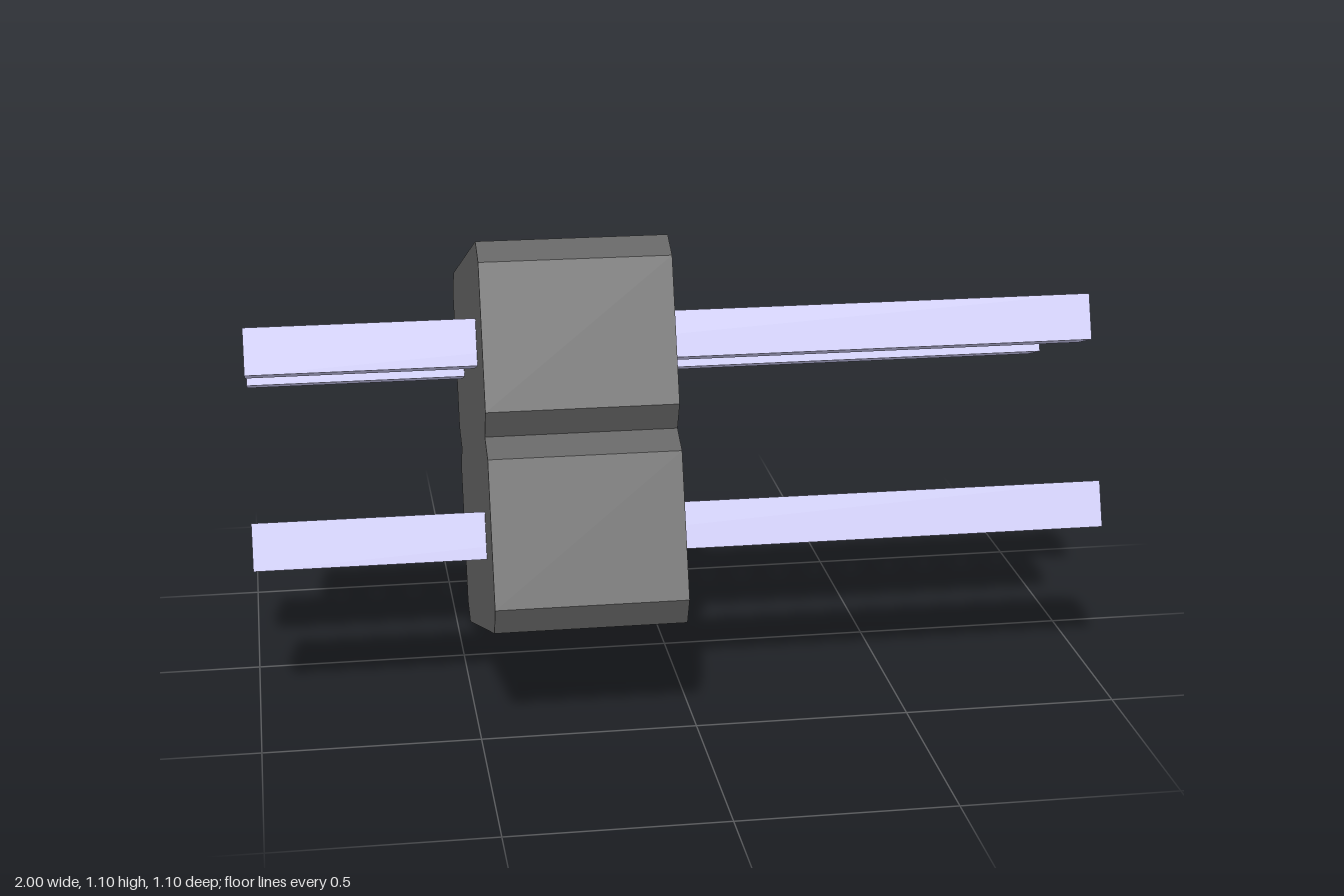
import * as THREE from 'three';

const HALF = 0.445;    // half width of the square body
const CUT = 0.053;     // corner chamfer and notch depth
const TILT = THREE.MathUtils.degToRad(-20);

// Square outline with chamfered corners and a V notch in two opposite sides
function bodyShape() {
  const h = HALF, c = CUT;
  const half = [
    [h, -h + c], [h, -c], [h - c, 0], [h, c], [h, h - c], [h - c, h],
  ];
  const mirrored = half.map(([x, y]) => [-x, -y]);
  return new THREE.Shape([...half, [-h + c, h], ...mirrored, [h - c, -h]]
    .map(([x, y]) => new THREE.Vector2(x, y)));
}

export function createModel() {
  const model = new THREE.Group();
  model.name = 'pinHeader';
  const bodyMaterial = new THREE.MeshStandardMaterial({ color: 0x646464 });
  const pinMaterial = new THREE.MeshStandardMaterial({ color: 0xcfcdf7 });

  // Tilted assembly: local z becomes world x
  const assembly = new THREE.Group();
  assembly.name = 'tiltedAssembly';
  assembly.position.y = 0.553;
  assembly.rotation.set(0, Math.PI / 2, TILT);
  model.add(assembly);

  // Insulating block
  const bodyGeometry = new THREE.ExtrudeGeometry(bodyShape(), { depth: 0.442, bevelEnabled: false });
  bodyGeometry.translate(0, 0, -0.467);
  const body = new THREE.Mesh(bodyGeometry, bodyMaterial);
  body.name = 'body';
  assembly.add(body);

  // Four square pins running through the block
  const pinGeometry = new THREE.BoxGeometry(0.11, 0.11, 2);
  for (const x of [-1, 1]) {
    for (const y of [-1, 1]) {
      const pin = new THREE.Mesh(pinGeometry, pinMaterial);
      pin.name = `${y > 0 ? 'upper' : 'lower'}${x > 0 ? 'Back' : 'Front'}Pin`;
      pin.position.set(x * 0.2235, y * 0.2235, 0);
      assembly.add(pin);
    }
  }
  return model;
}
